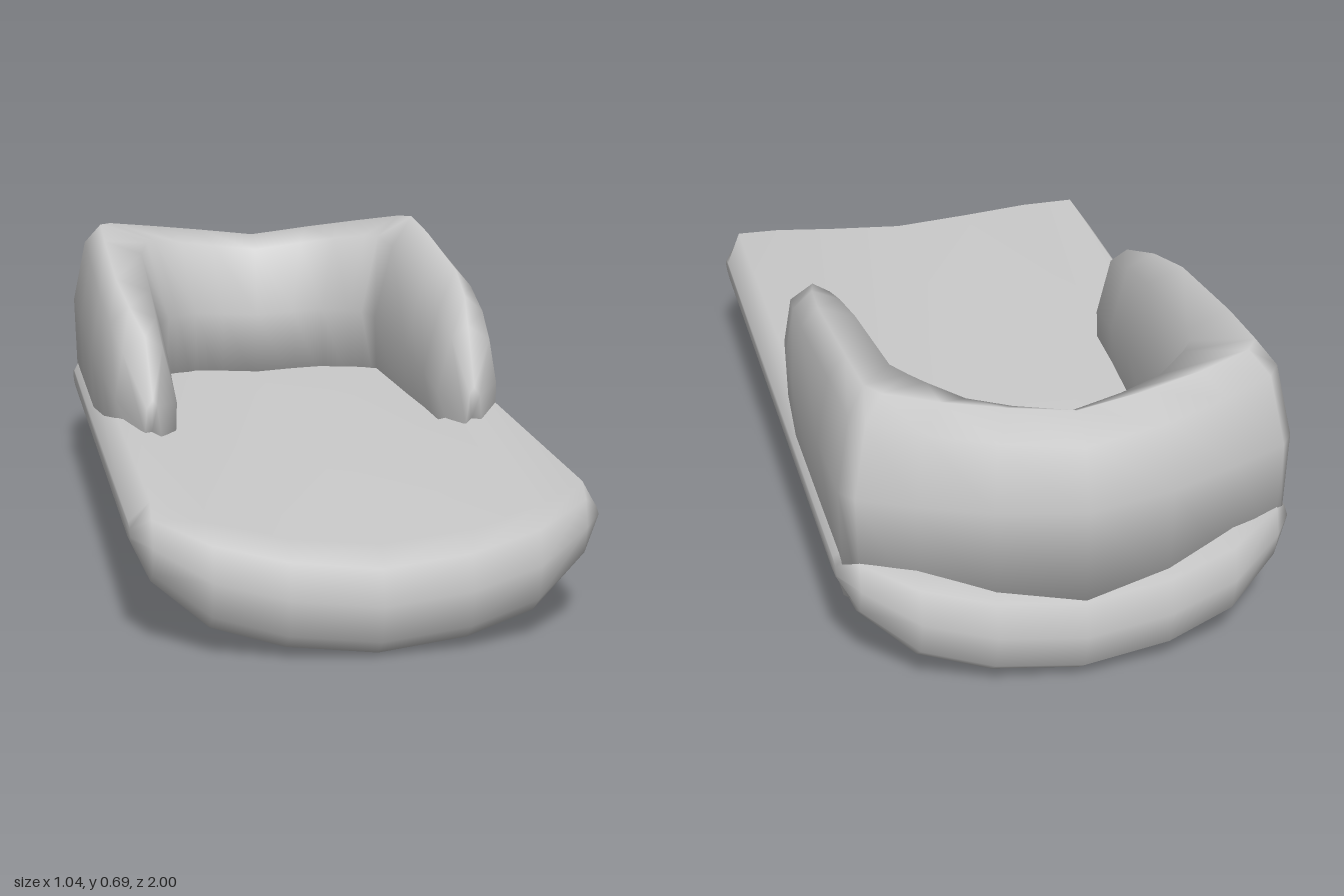
import * as THREE from 'three';

const material = new THREE.MeshStandardMaterial({ color: 0xcccccc });

// Skin a row of closed cross-sections (arrays of [x, y, z]) and cap both ends
function loft(name, sections) {
  const n = sections[0].length, last = sections.length - 1;
  const points = sections.flat(), faces = [];
  for (let s = 0; s < last; s++) {
    for (let i = 0; i < n; i++) {
      const a = s * n + i, b = s * n + (i + 1) % n;
      faces.push([a, b, b + n], [a, b + n, a + n]);
    }
  }
  for (const s of [0, last]) {
    const c = points.length;
    points.push([0, 1, 2].map(k => sections[s].reduce((sum, p) => sum + p[k], 0) / n));
    for (let i = 0; i < n; i++) {
      const a = s * n + i, b = s * n + (i + 1) % n;
      faces.push(s === 0 ? [c, b, a] : [c, a, b]);
    }
  }
  // Turn the faces outward when the enclosed volume is negative
  const v = points.map(p => new THREE.Vector3(...p));
  const volume = faces.reduce((sum, [a, b, c]) => sum + v[a].dot(v[b].clone().cross(v[c])), 0);
  if (volume < 0) faces.forEach(f => f.reverse());
  const geometry = new THREE.BufferGeometry().setFromPoints(v);
  geometry.setIndex(faces.flat());
  geometry.computeVertexNormals();
  const mesh = new THREE.Mesh(geometry, material);
  mesh.name = name;
  return mesh;
}

// Mirror a half list that starts on the centre line
const mirrored = (half, flip) => [...half.slice(1).reverse().map(flip), ...half];

// Dished mattress: columns of x, bottom, top, end z
function createCushion() {
  const columns = mirrored([
    [0, 0, 0.25, 1], [0.2, 0.02, 0.27, 0.985], [0.36, 0.06, 0.302, 0.945],
    [0.48, 0.15, 0.335, 0.877], [0.522, 0.235, 0.275, 0.82],
  ], ([x, ...rest]) => [-x, ...rest]);
  const rim = [[0.07, 0], [0.02, 0.16], [0, 0.5], [0.018, 0.82], [0.05, 1]]; // inset, height
  return loft('seatCushion', columns.map(([x, bottom, top, end]) => {
    const front = rim.map(([inset, h]) => [x, bottom + (top - bottom) * h, end - inset]);
    const back = front.map(([px, py, pz]) => [px, py, -pz]).reverse();
    return [...front, ...back];
  }));
}

// U-shaped bolster: stations of outer x, z, inner x, z, height, crest position
function createBackrest() {
  const stations = mirrored([
    [0, -0.985, 0, -0.77, 0.63, 0.5],
    [0.2, -0.957, 0.1, -0.752, 0.65, 0.45],
    [0.36, -0.905, 0.18, -0.73, 0.668, 0.38],
    [0.485, -0.86, 0.24, -0.66, 0.685, 0.3],
    [0.515, -0.82, 0.27, -0.62, 0.688, 0.3],
    [0.515, -0.58, 0.3, -0.58, 0.67, 0.32],
    [0.515, -0.25, 0.315, -0.25, 0.625, 0.34],
    [0.502, -0.08, 0.325, -0.08, 0.585, 0.4],
    [0.482, 0.06, 0.33, 0.06, 0.535, 0.5],
    [0.42, 0.16, 0.38, 0.16, 0.4, 0.5],
  ], ([ox, oz, ix, ...rest]) => [-ox, oz, -ix, ...rest]);
  const foot = 0.2;
  return loft('backrestWithArms', stations.map(([ox, oz, ix, iz, height, crest]) => {
    // position from outer to inner side, share of the height
    const profile = [[0.03, 0], [0, 0.55], [0.13, 0.89], [crest, 1], [0.78, 0.92], [1, 0.5], [0.96, 0]];
    return profile.map(([u, v]) => {
      const pullBack = oz > 0.1 && v === 0 ? 0.1 : 0; // undercut arm tips
      return [ox + (ix - ox) * u, foot + (height - foot) * v, oz + (iz - oz) * u - pullBack];
    });
  }));
}

export function createModel() {
  const model = new THREE.Group();
  model.name = 'lounger';
  model.add(createCushion(), createBackrest());
  return model;
}
